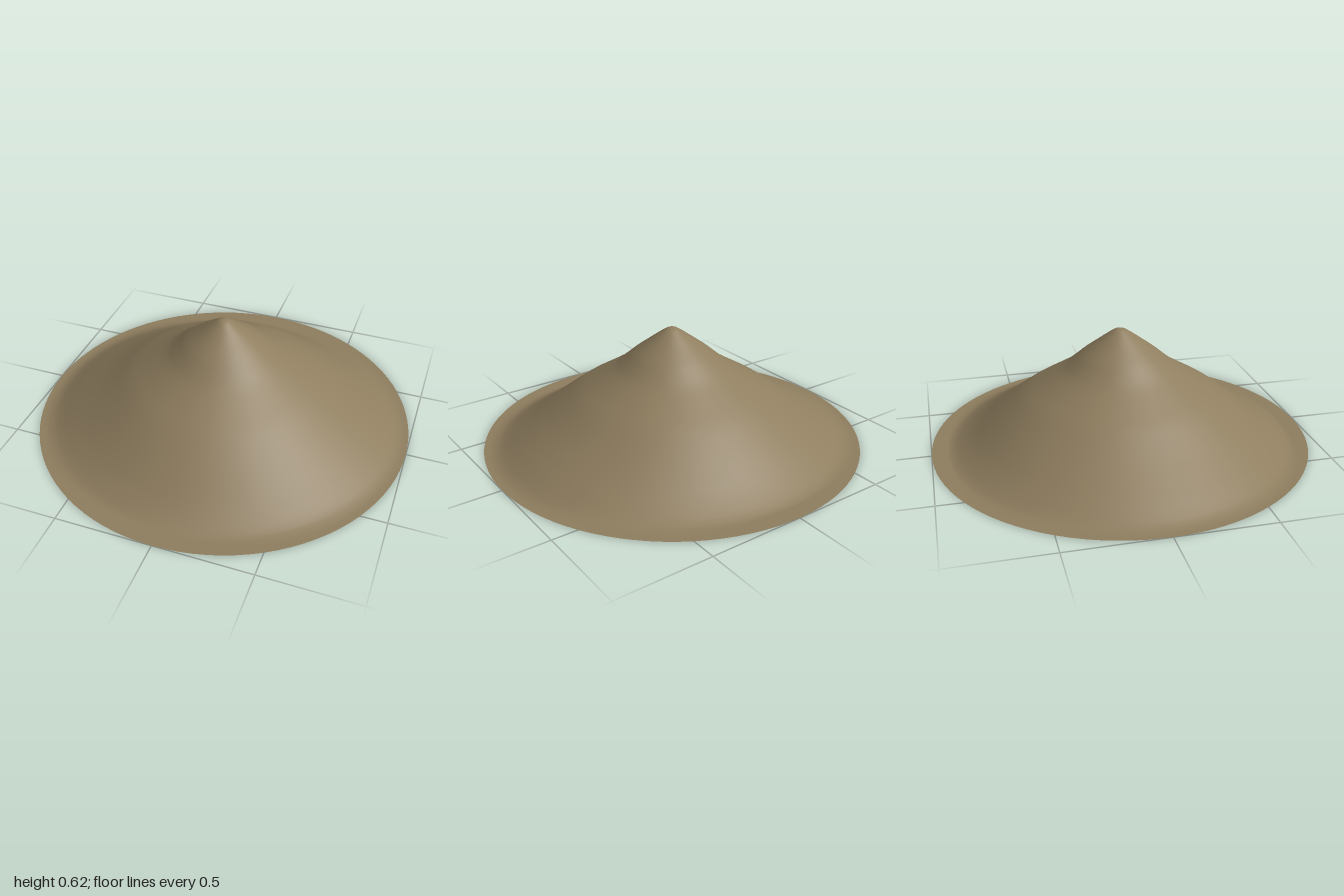
import * as THREE from 'three';
import { mergeVertices } from 'three/addons/utils/BufferGeometryUtils.js';

// Mound profile, rim to peak: radius, height
const PROFILE = [
  [1, 0], [0.95, 0.002], [0.9, 0.014], [0.8, 0.07], [0.7, 0.138], [0.6, 0.21], [0.5, 0.281],
  [0.4, 0.342], [0.3, 0.405], [0.25, 0.445], [0.2, 0.488], [0.12, 0.548], [0.06, 0.592], [0.025, 0.614], [0, 0.62],
];

export function createModel() {
  const group = new THREE.Group();
  group.name = 'hill';

  const curve = new THREE.CatmullRomCurve3(PROFILE.map(([r, h]) => new THREE.Vector3(r, h, 0)));
  const points = curve.getPoints(70).map((p) => new THREE.Vector2(Math.max(p.x, 0), Math.max(p.y, 0)));
  let geometry = new THREE.LatheGeometry(points, 96);

  // The lower slopes bulge a little along x and sink a little along z
  const pos = geometry.attributes.position;
  for (let i = 0; i < pos.count; i++) {
    const x = pos.getX(i), z = pos.getZ(i), r = Math.hypot(x, z);
    if (r < 0.01) continue;
    const bulge = 0.017 * Math.exp(-(((r - 0.82) / 0.16) ** 2)) * THREE.MathUtils.smoothstep(1 - r, 0, 0.12);
    const y = pos.getY(i) + bulge * (x * x - z * z) / (r * r);
    pos.setY(i, Math.max(0, y));
  }

  // Weld the seam and peak for smooth shading
  geometry.deleteAttribute('uv');
  geometry.deleteAttribute('normal');
  geometry = mergeVertices(geometry, 1e-5);
  geometry.computeVertexNormals();

  const mound = new THREE.Mesh(
    geometry,
    new THREE.MeshStandardMaterial({ color: 0x8f7e5f, side: THREE.DoubleSide }),
  );
  mound.name = 'mound';
  group.add(mound);
  return group;
}
